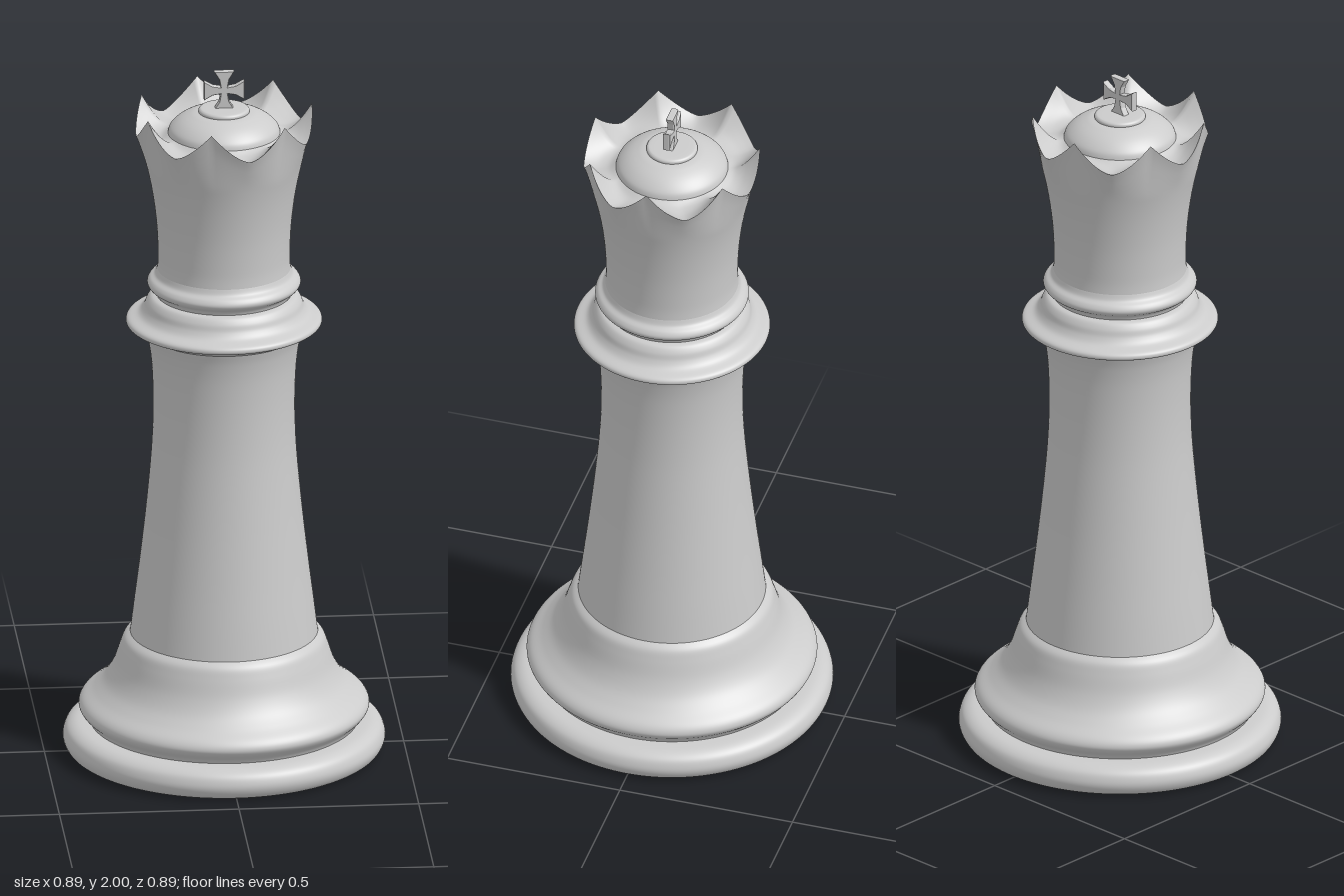
import * as THREE from 'three';
import { mergeVertices } from 'three/addons/utils/BufferGeometryUtils.js';

const SEGMENTS = 140; // multiple of the seven crown points
const TIPS = 7;
const material = new THREE.MeshStandardMaterial({ color: 0xcccccc, side: THREE.DoubleSide });

const vectors = (points) => points.map(([x, y]) => new THREE.Vector2(x, y));
const smooth = (points, n) => new THREE.SplineCurve(vectors(points)).getPoints(n);

function addMesh(group, name, geometry) {
  const mesh = new THREE.Mesh(geometry, material);
  mesh.name = name;
  group.add(mesh);
  return mesh;
}

// Turned part with a smooth profile, listed from bottom to top as [radius, height]
function addTurned(group, name, points, n = points.length * 5) {
  return addMesh(group, name, new THREE.LatheGeometry(smooth(points, n), SEGMENTS));
}

// 1 on a crown point, 0 in the valley between two points
function tipWave(angle) {
  const turn = (angle / (2 * Math.PI)) * TIPS;
  const t = 2 * Math.abs(turn - Math.round(turn));
  return Math.pow(1 - t, 1.5);
}

// Turned surface lifted into points; weight(point) says how strongly
function addScalloped(group, name, profile, weight) {
  let geometry = new THREE.LatheGeometry(profile, SEGMENTS);
  const pos = geometry.attributes.position;
  for (let i = 0; i < pos.count; i++) {
    const p = profile[i % profile.length];
    const lift = 0.082 * tipWave(Math.atan2(pos.getZ(i), pos.getX(i))) * weight(p);
    pos.setY(i, p.y + lift);
  }
  geometry.deleteAttribute('uv');
  geometry.deleteAttribute('normal');
  geometry = mergeVertices(geometry, 1e-5);
  geometry.computeVertexNormals();
  return addMesh(group, name, geometry);
}

export function createModel() {
  const model = new THREE.Group();
  model.name = 'chessQueen';

  // Foot
  addMesh(model, 'underside', new THREE.CircleGeometry(0.415, SEGMENTS).rotateX(Math.PI / 2));
  addTurned(model, 'footRing', [
    [0.415, 0], [0.435, 0.01], [0.446, 0.03], [0.446, 0.05], [0.435, 0.072], [0.41, 0.085], [0.37, 0.088],
  ]);
  addTurned(model, 'bell', [
    [0.372, 0.085], [0.38, 0.1], [0.397, 0.118], [0.403, 0.135], [0.392, 0.155], [0.36, 0.18],
    [0.33, 0.21], [0.307, 0.25], [0.29, 0.3], [0.278, 0.33], [0.26, 0.346],
  ]);

  // Column and collars
  addTurned(model, 'column', [
    [0.261, 0.34], [0.25, 0.43], [0.235, 0.55], [0.218, 0.7], [0.204, 0.85], [0.198, 0.95],
    [0.197, 1.05], [0.201, 1.14], [0.209, 1.2], [0.218, 1.235],
  ]);
  addTurned(model, 'collar', [
    [0.218, 1.235], [0.242, 1.248], [0.267, 1.258], [0.272, 1.267], [0.265, 1.277], [0.238, 1.288],
    [0.223, 1.305], [0.215, 1.325], [0.203, 1.34], [0.188, 1.345],
  ]);
  addTurned(model, 'neckRing', [
    [0.186, 1.343], [0.192, 1.356], [0.208, 1.368], [0.213, 1.38], [0.206, 1.393], [0.192, 1.404], [0.185, 1.42],
  ]);

  // Crown wall, stretched into points towards its rim
  const wall = smooth([
    [0.185, 1.415], [0.183, 1.46], [0.187, 1.55], [0.198, 1.64], [0.214, 1.72], [0.232, 1.78], [0.245, 1.815],
  ], 40);
  addScalloped(model, 'crownWall', wall, (p) => THREE.MathUtils.smoothstep(p.y, 1.72, 1.83) / 0.95);

  // Hollow inside the crown, flattening towards the dome
  const wallTop = THREE.MathUtils.smoothstep(1.815, 1.72, 1.83) / 0.95;
  const hollow = smooth([[0.245, 1.815], [0.225, 1.808], [0.2, 1.804], [0.175, 1.808], [0.155, 1.82]], 16);
  addScalloped(model, 'crownHollow', hollow,
    (p) => wallTop * Math.pow(THREE.MathUtils.clamp((p.x - 0.155) / 0.09, 0, 1), 1.3));

  // Dome and button
  addTurned(model, 'dome', [[0.157, 1.815], [0.15, 1.836], [0.128, 1.857], [0.1, 1.872], [0.07, 1.88], [0, 1.885]]);
  addTurned(model, 'button', [[0.066, 1.872], [0.071, 1.881], [0.068, 1.889], [0.055, 1.892], [0, 1.893]]);

  // Flared cross: one arm outline turned four times
  const reach = 0.056;
  const outline = [];
  for (let k = 0; k < 4; k++) {
    for (const [u, v] of [[0.01, -0.01], [0.032, -0.014], [reach, -0.028], [reach, 0.028], [0.032, 0.014]]) {
      outline.push(new THREE.Vector2(u, v).rotateAround(new THREE.Vector2(), (k * Math.PI) / 2));
    }
  }
  const crossGeometry = new THREE.ExtrudeGeometry(new THREE.Shape(outline), {
    depth: 0.014, bevelEnabled: true, bevelThickness: 0.003, bevelSize: 0.002, bevelOffset: -0.002, bevelSegments: 1,
  });
  crossGeometry.translate(0, 0, -0.007);
  addMesh(model, 'cross', crossGeometry).position.y = 2 - reach;

  return model;
}
